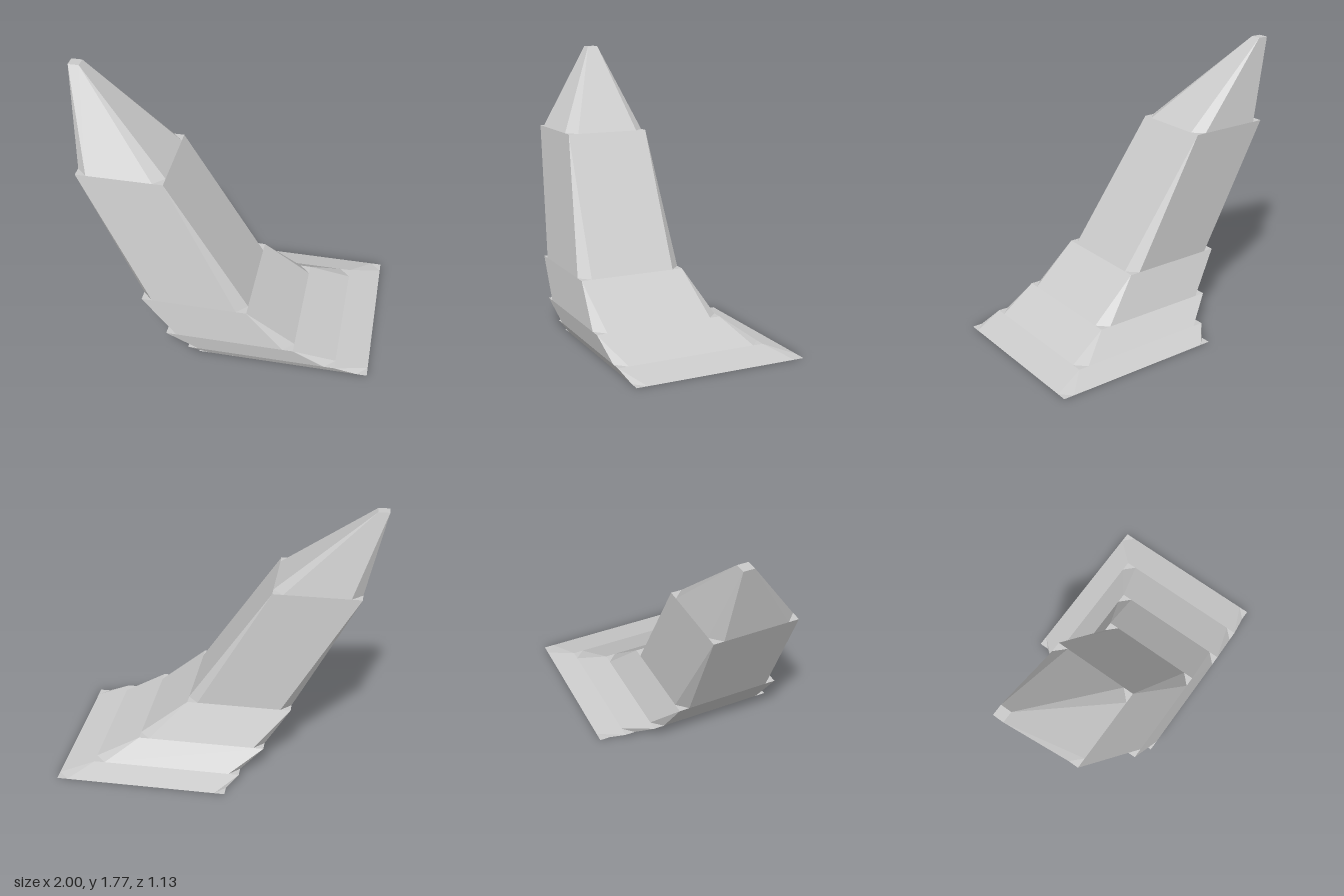
import * as THREE from 'three';

// Rectangular levels from tip to ground: [y, xMin, xMax, zMin, zMax]
const LEVELS = [
  [1.77, -1, -0.93, -0.055, 0.015],
  [1.235, -0.88, -0.33, -0.15, 0.4],
  [0.405, -0.47, 0.21, -0.155, 0.535],
  [0.16, -0.31, 0.52, -0.26, 0.565],
  [0.045, -0.17, 0.79, -0.41, 0.55],
  [0, -0.1, 1, -0.565, 0.53],
];
const NAMES = ['tip', 'shaft', 'lowerShaft', 'root', 'foot'];
const CUT = 0.067;

// Corners counter-clockwise seen from above
function corners([y, x0, x1, z0, z1]) {
  return [[x0, z1], [x1, z1], [x1, z0], [x0, z0]].map(([x, z]) => new THREE.Vector3(x, y, z));
}

function facets(triangles) {
  const geometry = new THREE.BufferGeometry().setFromPoints(triangles);
  geometry.computeVertexNormals();
  return geometry;
}

function quad(a, b, c, d) {
  return [a, b, c, a, c, d];
}

export function createModel() {
  const group = new THREE.Group();
  const material = new THREE.MeshStandardMaterial({
    color: 0xcccccc, flatShading: true, side: THREE.DoubleSide,
  });
  const add = (name, triangles) => {
    const mesh = new THREE.Mesh(facets(triangles), material);
    mesh.name = name;
    group.add(mesh);
  };
  const toward = (a, b) => a.clone().add(b.clone().sub(a).setLength(CUT));

  // Each segment runs from a square top to a bottom with cut corners
  NAMES.forEach((name, s) => {
    const top = corners(LEVELS[s]);
    const low = corners(LEVELS[s + 1]);
    const tris = [];
    for (let i = 0; i < 4; i++) {
      const next = (i + 1) % 4;
      const before = toward(low[i], low[(i + 3) % 4]);
      const after = toward(low[i], low[next]);
      tris.push(...quad(after, toward(low[next], low[i]), top[next], top[i])); // side
      tris.push(before, after, top[i]); // corner facet
      tris.push(before, low[i], after); // small ledge on the next segment
    }
    add(name, tris);
  });

  // Flat ends
  add('tipCap', quad(...corners(LEVELS[0])));
  add('base', quad(...corners(LEVELS[5]).reverse()));
  return group;
}
